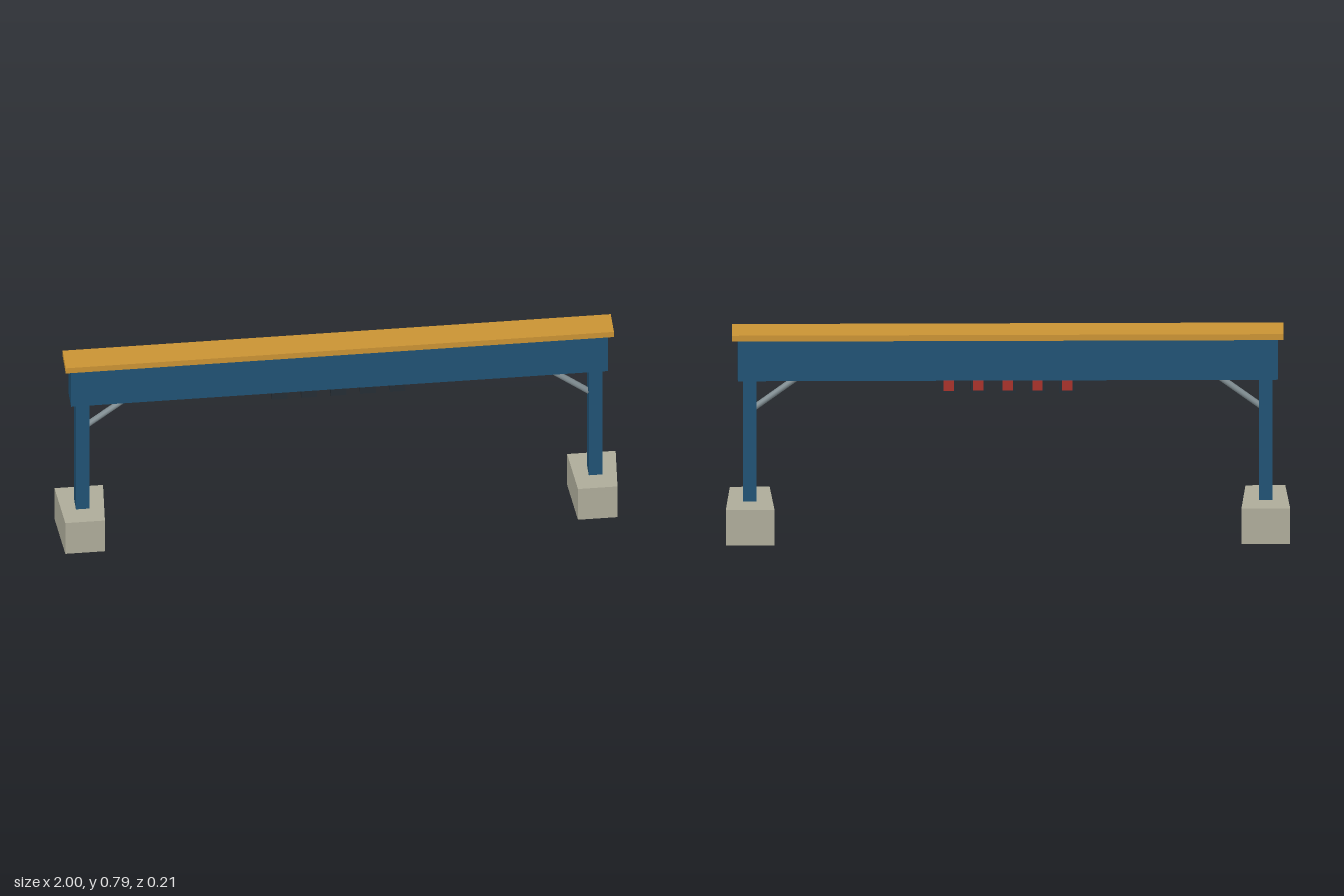
import * as THREE from 'three';

const material = (name, color) => {
  const m = new THREE.MeshStandardMaterial({ color });
  m.name = name;
  return m;
};

export function createModel() {
  const model = new THREE.Group();
  model.name = 'signalGantry';
  const blue = material('bluePaint', 0x205274);
  const ochre = material('ochrePaint', 0xca9334);
  const concrete = material('concrete', 0xaeac9a);
  const steel = material('greySteel', 0x7f8c91);
  const dark = material('darkHousing', 0x252d34);
  const red = material('redLens', 0xa8322b);

  const add = (name, geometry, mat, x, y, z = 0) => {
    const mesh = new THREE.Mesh(geometry, mat);
    mesh.name = name;
    mesh.position.set(x, y, z);
    model.add(mesh);
    return mesh;
  };
  const box = (name, w, h, d, mat, x, y, z) =>
    add(name, new THREE.BoxGeometry(w, h, d), mat, x, y, z);

  // Cross beam with its overhanging cap
  box('crossBeam', 1.914, 0.157, 0.086, blue, 0, 0.6865);
  box('beamCap', 1.954, 0.023, 0.104, ochre, 0, 0.7765);

  // Footing block, narrower towards the front
  const footing = new THREE.BoxGeometry(0.173, 0.137, 0.207);
  const p = footing.attributes.position;
  for (let i = 0; i < p.count; i++) if (p.getZ(i) > 0) p.setX(i, p.getX(i) * 0.815);
  footing.computeVertexNormals();

  // Footing, post and diagonal brace on each side
  for (const [side, s] of [['left', 1], ['right', -1]]) {
    add(side + 'Footing', footing, concrete, s * 0.9135, 0.0685);
    box(side + 'Post', 0.048, 0.473, 0.056, blue, s * 0.914, 0.3725);

    const low = new THREE.Vector3(s * 0.905, 0.483, 0);
    const high = new THREE.Vector3(s * 0.73, 0.617, 0);
    const dir = high.clone().sub(low);
    const brace = add(side + 'Brace', new THREE.CylinderGeometry(0.011, 0.011, dir.length(), 10), steel, 0, 0);
    brace.position.copy(low).lerp(high, 0.5);
    brace.quaternion.setFromUnitVectors(new THREE.Vector3(0, 1, 0), dir.normalize());
  }

  // Row of signal lamps under the beam, lenses facing the back
  for (let i = -2; i <= 2; i++) {
    box('lampHousing', 0.056, 0.054, 0.046, dark, i * 0.105, 0.583, -0.0105);
    box('lampLens', 0.037, 0.037, 0.006, red, i * 0.105, 0.586, -0.0365);
  }
  return model;
}
